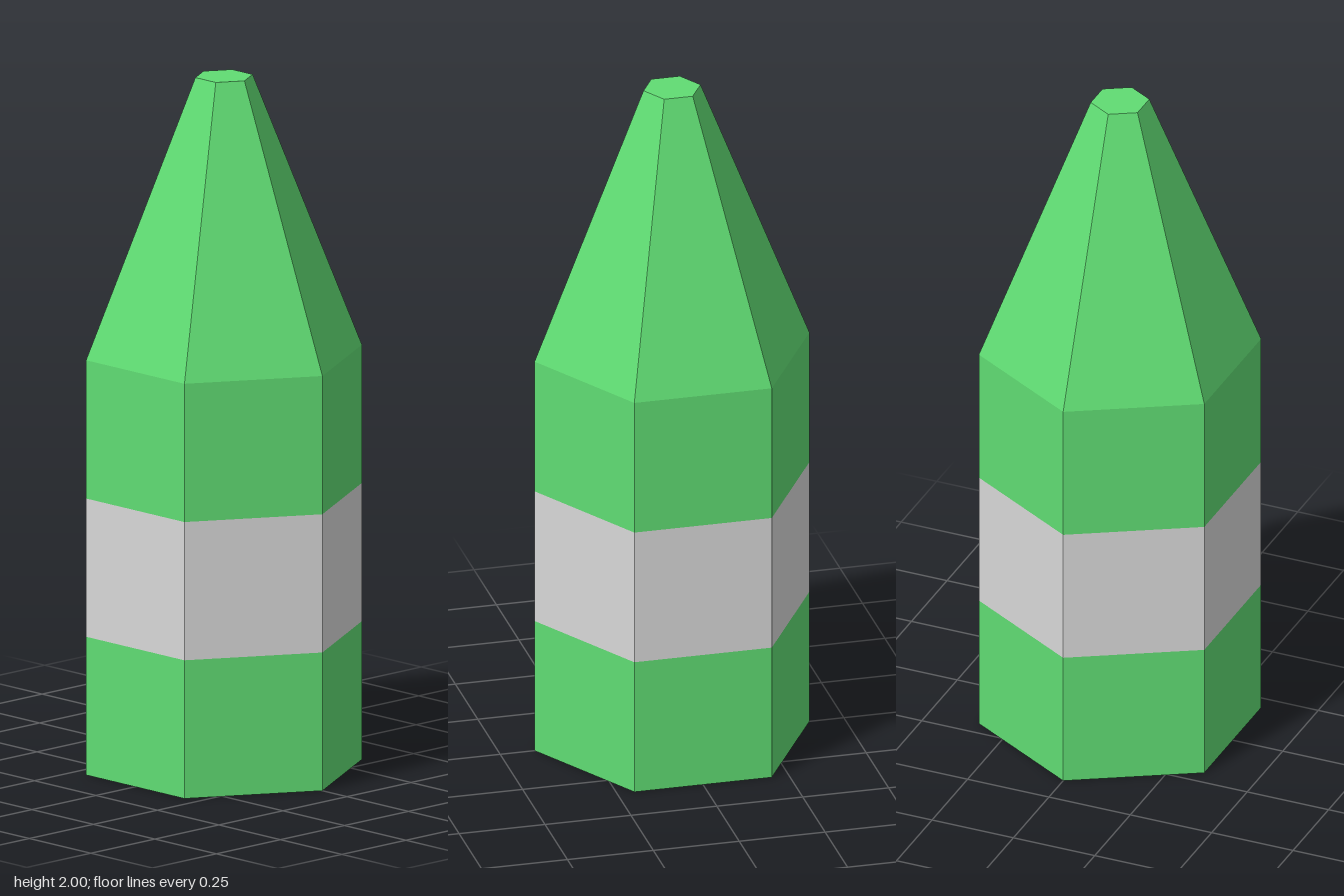
import * as THREE from 'three';

const SIDES = 6;
const RADIUS = 0.4;
const TIP_RADIUS = 0.083;

export function createModel() {
  const group = new THREE.Group();
  group.name = 'crayon';

  const green = new THREE.MeshStandardMaterial({ color: 0x60dc73, flatShading: true });
  green.name = 'green';
  const grey = new THREE.MeshStandardMaterial({ color: 0xd8d8d8, flatShading: true });
  grey.name = 'light grey';

  function add(name, geometry, material, y) {
    const mesh = new THREE.Mesh(geometry, material);
    mesh.name = name;
    mesh.position.y = y;
    group.add(mesh);
  }

  // Open hexagonal wall from height y0 to y1
  function wall(name, y0, y1, bottomRadius, topRadius, material) {
    const geometry = new THREE.CylinderGeometry(topRadius, bottomRadius, y1 - y0, SIDES, 1, true);
    add(name, geometry, material, (y0 + y1) / 2);
  }

  // Flat hexagon closing an end; direction is 1 for up, -1 for down
  function cap(name, y, radius, direction) {
    const geometry = new THREE.CircleGeometry(radius, SIDES, Math.PI / 2);
    geometry.rotateX(-direction * Math.PI / 2);
    add(name, geometry, green, y);
  }

  // Body with the label band around its middle
  wall('lowerBody', 0, 0.4, RADIUS, RADIUS, green);
  wall('labelBand', 0.4, 0.8, RADIUS, RADIUS, grey);
  wall('upperBody', 0.8, 1.2, RADIUS, RADIUS, green);

  // Tapered point with a blunt end
  wall('taperedPoint', 1.2, 2, RADIUS, TIP_RADIUS, green);

  cap('base', 0, RADIUS, -1);
  cap('bluntTip', 2, TIP_RADIUS, 1);

  return group;
}
